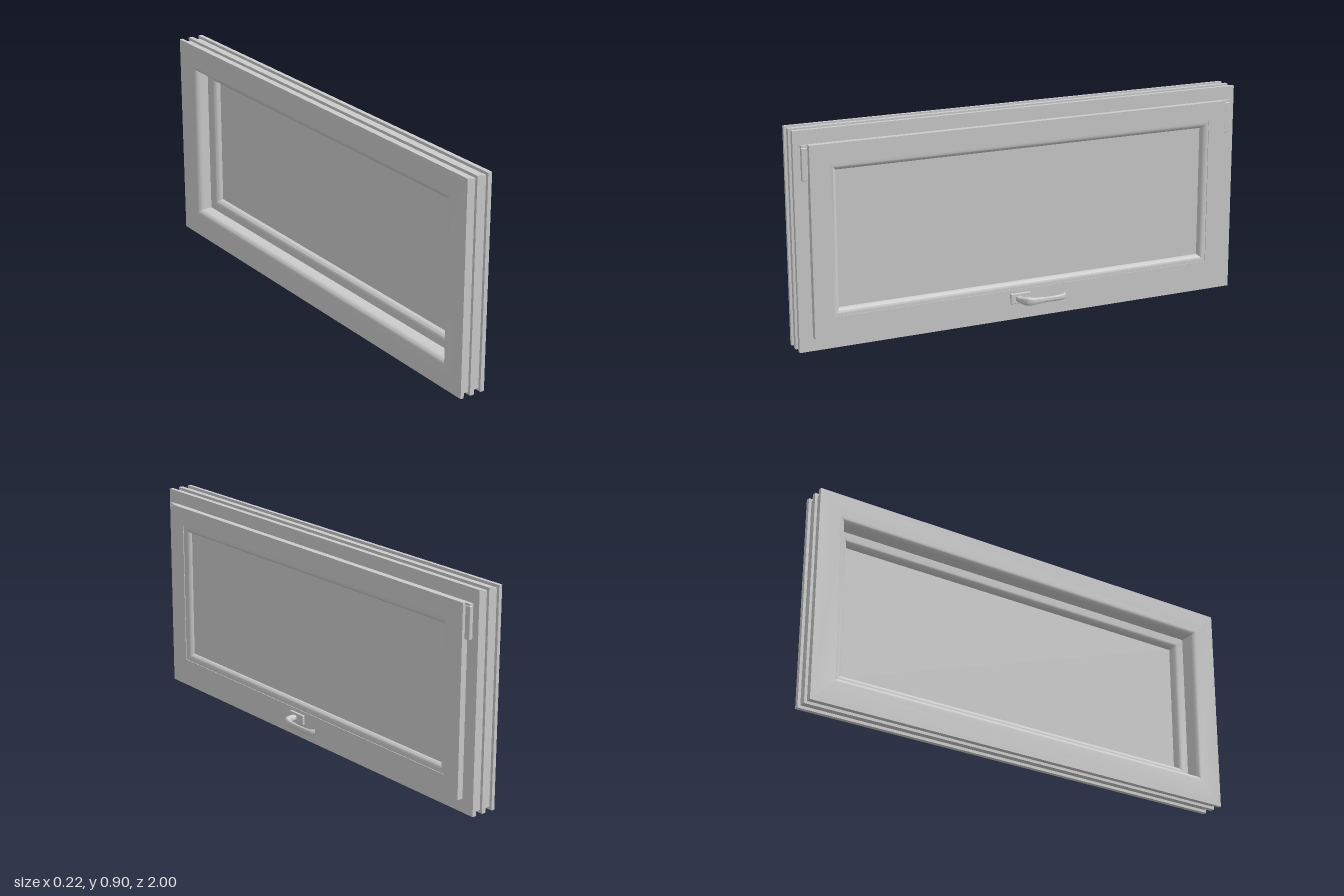
import * as THREE from 'three';
import { toCreasedNormals } from 'three/addons/utils/BufferGeometryUtils.js';
import { RoundedBoxGeometry } from 'three/addons/geometries/RoundedBoxGeometry.js';

const H = 0.905; // overall height; the length runs along z from -1 to 1
const HANDLE_Y = 0.102;
const material = new THREE.MeshStandardMaterial({ color: 0xcccccc });

function part(name, geometry, x = 0, y = 0, z = 0) {
  const mesh = new THREE.Mesh(geometry, material);
  mesh.name = name;
  mesh.position.set(x, y, z);
  return mesh;
}

function box(name, x0, x1, y0, y1, z0, z1, radius = 0) {
  const size = [x1 - x0, y1 - y0, z1 - z0];
  const geometry = radius ? new RoundedBoxGeometry(...size, 3, radius) : new THREE.BoxGeometry(...size);
  return part(name, geometry, (x0 + x1) / 2, (y0 + y1) / 2, (z0 + z1) / 2);
}

// Joins rings of points into a surface; loop also joins the last ring to the first
function skin(rings, loop, crease) {
  const points = [];
  const count = rings[0].length;
  for (let i = 0; i < rings.length - (loop ? 0 : 1); i++) {
    const a = rings[i], b = rings[(i + 1) % rings.length];
    for (let j = 0; j < count; j++) {
      const k = (j + 1) % count;
      points.push(a[j], a[k], b[k], a[j], b[k], b[j]);
    }
  }
  return toCreasedNormals(new THREE.BufferGeometry().setFromPoints(points), crease);
}

// Mitred rectangular frame; profile points are (x, inset from the outer edge)
function mitredFrame(name, profile) {
  const corners = [[-1, 0], [1, 0], [1, 1], [-1, 1]];
  const rings = corners.map(([sz, top]) => profile.map(([x, d]) =>
    new THREE.Vector3(x, top ? H - d : d, sz * (1 - d))));
  return part(name, skin(rings, true, 0.5));
}

// Quarter-ellipse moulding between two angles
function arc(cx, cd, rx, rd, from, to, steps = 8) {
  return Array.from({ length: steps + 1 }, (_, i) => {
    const a = from + (to - from) * i / steps;
    return [cx + rx * Math.cos(a), cd + rd * Math.sin(a)];
  });
}

// Lever swept along a path in the xz plane with a changing oval section
function lever() {
  const path = new THREE.CatmullRomCurve3([
    [0.038, 0.05], [0.065, 0.047], [0.088, 0.036], [0.1, 0.012],
    [0.102, -0.03], [0.102, -0.1], [0.098, -0.128], [0.084, -0.142],
  ].map(([x, z]) => new THREE.Vector3(x, HANDLE_Y, z)));
  // [position along path, half thickness, half height]
  const sizes = [[0, 0.014, 0.012], [0.1, 0.014, 0.013], [0.24, 0.012, 0.018],
    [0.4, 0.008, 0.014], [0.6, 0.006, 0.011], [1, 0.006, 0.013]];
  const sizeAt = (t) => {
    const k = Math.max(1, sizes.findIndex((s) => s[0] >= t));
    const a = sizes[k - 1], b = sizes[k];
    const f = THREE.MathUtils.smoothstep(t, a[0], b[0]);
    return [a[1] + (b[1] - a[1]) * f, a[2] + (b[2] - a[2]) * f];
  };
  const rings = [];
  const addRing = (t, scale) => {
    const c = path.getPointAt(t), dir = path.getTangentAt(t);
    const [half, tall] = sizeAt(t);
    const across = new THREE.Vector3(dir.z, 0, -dir.x);
    rings.push(Array.from({ length: 20 }, (_, j) => {
      const a = j / 20 * Math.PI * 2;
      const round = (v) => Math.sign(v) * Math.abs(v) ** 0.7;
      const p = c.clone().addScaledVector(across, half * scale * round(Math.cos(a)));
      p.y += tall * scale * round(Math.sin(a));
      return p;
    }));
  };
  addRing(0, 0.001);
  for (let i = 0; i <= 40; i++) addRing(i / 40, 1);
  addRing(1, 0.001);
  return part('handleLever', skin(rings, false, 0.7));
}

export function createModel() {
  const group = new THREE.Group();
  group.name = 'window';
  const { PI } = Math;

  // Outer frame: two grooves round the edge, a rebate for the sash, rounded rear lip
  group.add(mitredFrame('outerFrame', [
    [-0.112, 0], [-0.097, 0], [-0.097, 0.012], [-0.066, 0.012], [-0.066, 0],
    [-0.046, 0], [-0.046, 0.012], [-0.015, 0.012], [-0.015, 0], [0.003, 0],
    [0.003, 0.07], [-0.045, 0.07], [-0.045, 0.12],
    ...arc(-0.087, 0.095, 0.025, 0.025, PI / 2, PI),
  ]));

  // Opening sash: front lip over the frame and rounded mouldings towards the pane
  group.add(mitredFrame('sash', [
    [-0.046, 0.075], [0.0035, 0.075], [0.0035, 0.0575], [0.03, 0.0575],
    [0.03, 0.138], [0.027, 0.138], [0.027, 0.143],
    ...arc(0.005, 0.143, 0.022, 0.026, 0, PI / 2),
    ...arc(-0.022, 0.145, 0.024, 0.024, PI / 2, PI),
  ]));

  // Pane
  group.add(box('pane', -0.012, 0.004, 0.165, H - 0.165, -0.835, 0.835));

  // Hinges at both upper corners
  for (const side of [-1, 1]) {
    const hinge = new THREE.Group();
    hinge.name = side > 0 ? 'leftHinge' : 'rightHinge';
    const z0 = side > 0 ? 0.946 : -0.972;
    hinge.add(box('hingeBody', 0.008, 0.022, 0.706, 0.838, z0, z0 + 0.026, 0.003));
    hinge.add(box('hingeCap', 0.006, 0.022, 0.84, 0.848, z0, z0 + 0.026));
    hinge.add(box('hingeLeaf', 0.002, 0.009, 0.71, 0.846, z0 + 0.003, z0 + 0.023));
    group.add(hinge);
  }

  // Handle on the lower rail
  const handle = new THREE.Group();
  handle.name = 'handle';
  handle.add(box('handlePlate', 0.029, 0.041, 0.08, 0.124, -0.005, 0.085, 0.003));
  handle.add(lever());
  group.add(handle);

  return group;
}
